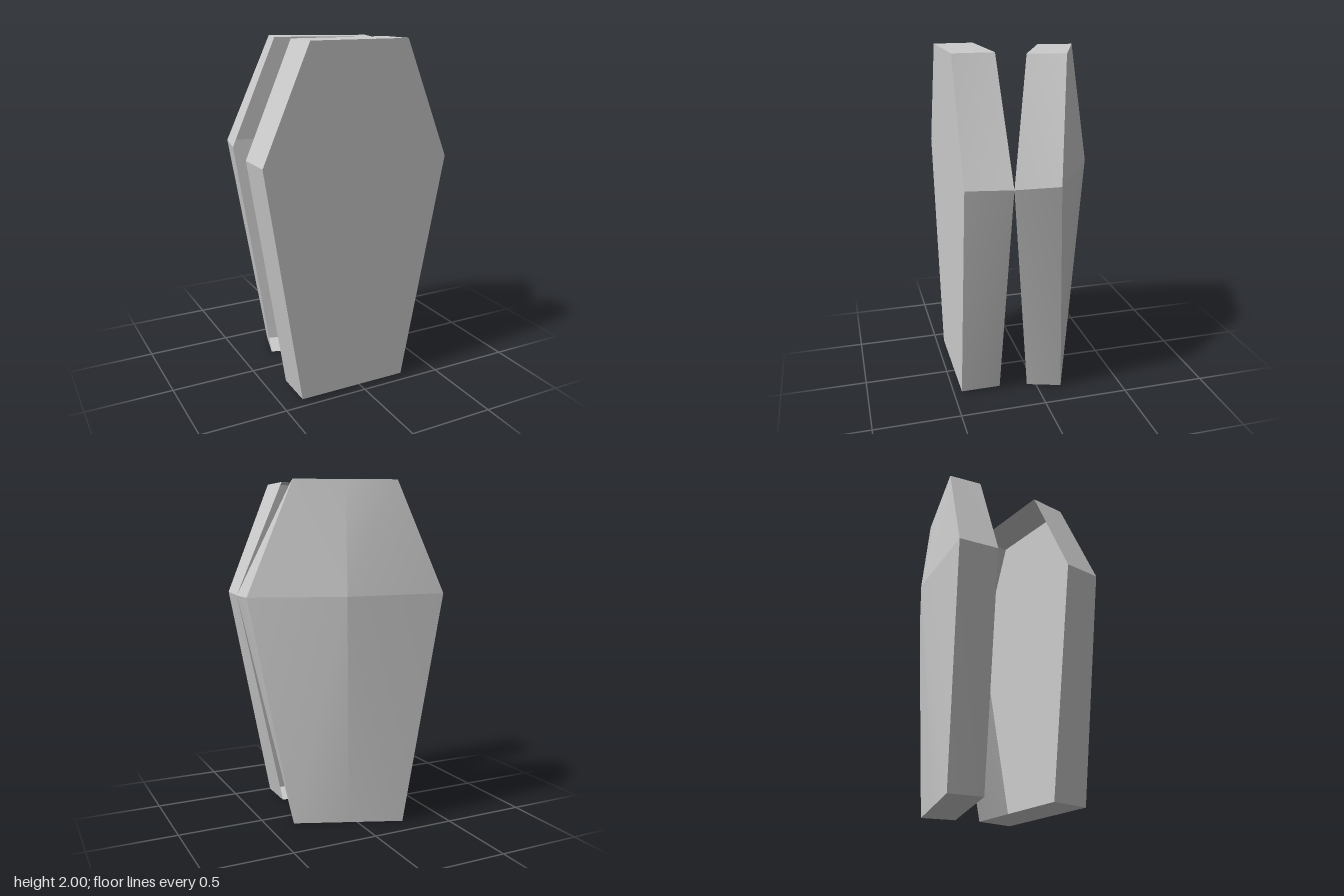
import * as THREE from 'three';
import { mergeGeometries } from 'three/addons/utils/BufferGeometryUtils.js';

const material = new THREE.MeshStandardMaterial({ color: 0xcccccc, side: THREE.DoubleSide });

// One four-sided face; its corners are not shared, so edges between faces stay sharp
function quad(corners, flip) {
  const geometry = new THREE.BufferGeometry();
  geometry.setAttribute('position', new THREE.Float32BufferAttribute(corners.flat(), 3));
  geometry.setIndex(flip ? [0, 2, 1, 0, 3, 2] : [0, 1, 2, 0, 2, 3]);
  geometry.computeVertexNormals();
  return geometry;
}

const middle = (a, b) => a.map((v, i) => (v + b[i]) / 2);

function addMesh(group, name, quads) {
  const mesh = new THREE.Mesh(mergeGeometries(quads), material);
  mesh.name = name;
  group.add(mesh);
}

// Open hexagonal tray: a panel of four faces meeting at a centre, with walls up to the rim.
// Outlines run: top left, middle left, bottom left, bottom right, middle right, top right.
function tray(name, panel, rim, centre, flip) {
  const group = new THREE.Group();
  group.name = name;
  const [tl, ml, bl, br, mr, tr] = panel;
  const top = middle(tl, tr);
  const bottom = middle(bl, br);
  addMesh(group, name + 'Panel', [
    [tl, ml, centre, top],
    [bl, bottom, centre, ml],
    [br, mr, centre, bottom],
    [tr, top, centre, mr],
  ].map((corners) => quad(corners, flip)));
  addMesh(group, name + 'Walls', panel.map((p, i) => {
    const j = (i + 1) % panel.length;
    return quad([p, rim[i], rim[j], panel[j]], flip);
  }));
  return group;
}

export function createModel() {
  const model = new THREE.Group();
  model.name = 'openCasket';

  // Flat-backed box, opening to the rear
  const boxPanel = [
    [-0.32, 2, 0.455], [-0.59, 1.375, 0.455], [-0.38, 0.02, 0.455],
    [0.275, 0.02, 0.455], [0.53, 1.34, 0.455], [0.26, 2, 0.455],
  ];
  const boxRim = boxPanel.map(([x, y]) => [x, y, 0.223]);
  boxRim[4] = [0.56, 1.335, 0.2]; // corner touching the lid
  model.add(tray('box', boxPanel, boxRim, middle(boxPanel[1], boxPanel[4]), false));

  // Lid swung open, its panel raised to a point in the middle
  const lidPanel = [
    [-0.2, 1.99, -0.357], [-0.45, 1.36, -0.457], [-0.25, 0.005, -0.375],
    [0.35, 0.01, -0.14], [0.585, 1.34, -0.05], [0.34, 1.99, -0.145],
  ];
  const lidRim = [
    [-0.248, 1.99, -0.16], [-0.498, 1.36, -0.225], [-0.3, 0.005, -0.18],
    [0.285, 0.01, 0.055], [0.56, 1.335, 0.2], [0.27, 1.99, 0.055],
  ];
  model.add(tray('lid', lidPanel, lidRim, [0.105, 1.35, -0.348], true));

  return model;
}
